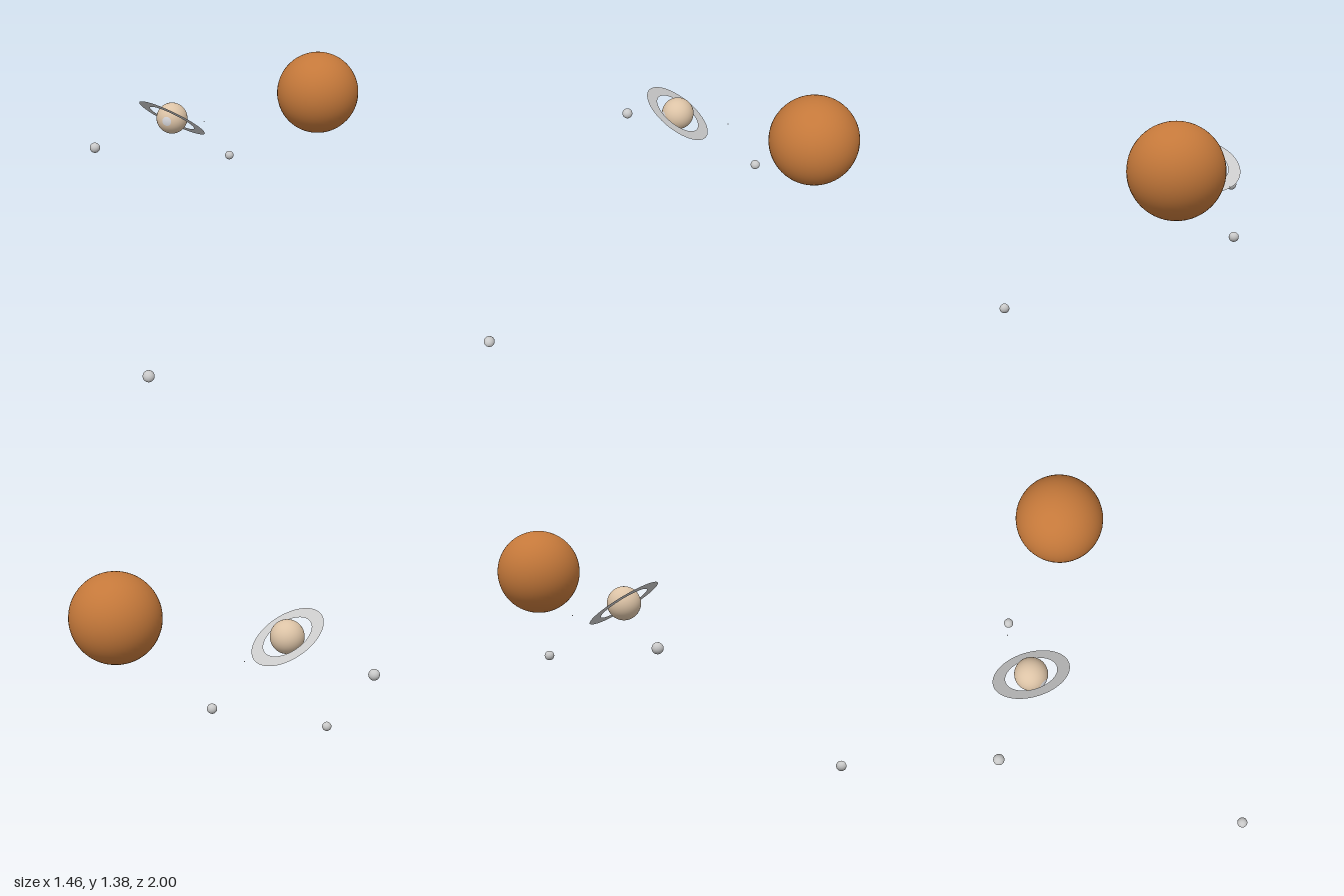
import * as THREE from 'three';

const flat = (name, color, side = THREE.FrontSide) => {
  const m = new THREE.MeshStandardMaterial({ color, side });
  m.name = name;
  return m;
};

export function createModel() {
  const group = new THREE.Group();
  const rust = flat('rust orange', 0xc4783a);
  const sand = flat('pale sand', 0xdcc3a6);
  const ice = flat('pale ice', 0xd6d6da);
  const grey = flat('moon grey', 0xc8c8c8);
  const ringGrey = flat('ring grey', 0xcccccc, THREE.DoubleSide);

  const add = (name, geometry, material, x, y, z) => {
    const mesh = new THREE.Mesh(geometry, material);
    mesh.name = name;
    mesh.position.set(x, y, z);
    group.add(mesh);
    return mesh;
  };
  const ball = (name, r, material, x, y, z) =>
    add(name, new THREE.SphereGeometry(r, 48, 32), material, x, y, z);

  // Large planet
  ball('largePlanet', 0.239, rust, 0.489, 1.144, -0.761);

  // Ringed planet, with a pale cap on its front
  const centre = [-0.266, 1.03, -0.316];
  ball('ringedPlanet', 0.09, sand, ...centre);
  const cap = new THREE.SphereGeometry(0.0908, 32, 6, 0, Math.PI * 2, 0, 0.3);
  cap.rotateX(Math.PI / 2);
  add('frontCap', cap, ice, ...centre);

  // Flat tilted ring
  const ring = add('planetRing', new THREE.RingGeometry(0.142, 0.2105, 96), ringGrey, ...centre);
  ring.quaternion.setFromUnitVectors(
    new THREE.Vector3(0, 0, 1),
    new THREE.Vector3(0.281, 0.825, -0.489).normalize()
  );

  // Moons and one tiny speck: radius, x, y, z
  [
    [0.03, -0.699, 0.848, -0.181],
    [0.026, -0.039, 0.725, -0.71],
    [0.03, 0.077, 0.03, 0.969],
    [0.003, -0.16, 0.957, -0.585],
  ].forEach(([r, x, y, z], i) => ball(i < 3 ? `moon${i + 1}` : 'tinyMoon', r, grey, x, y, z));

  return group;
}
